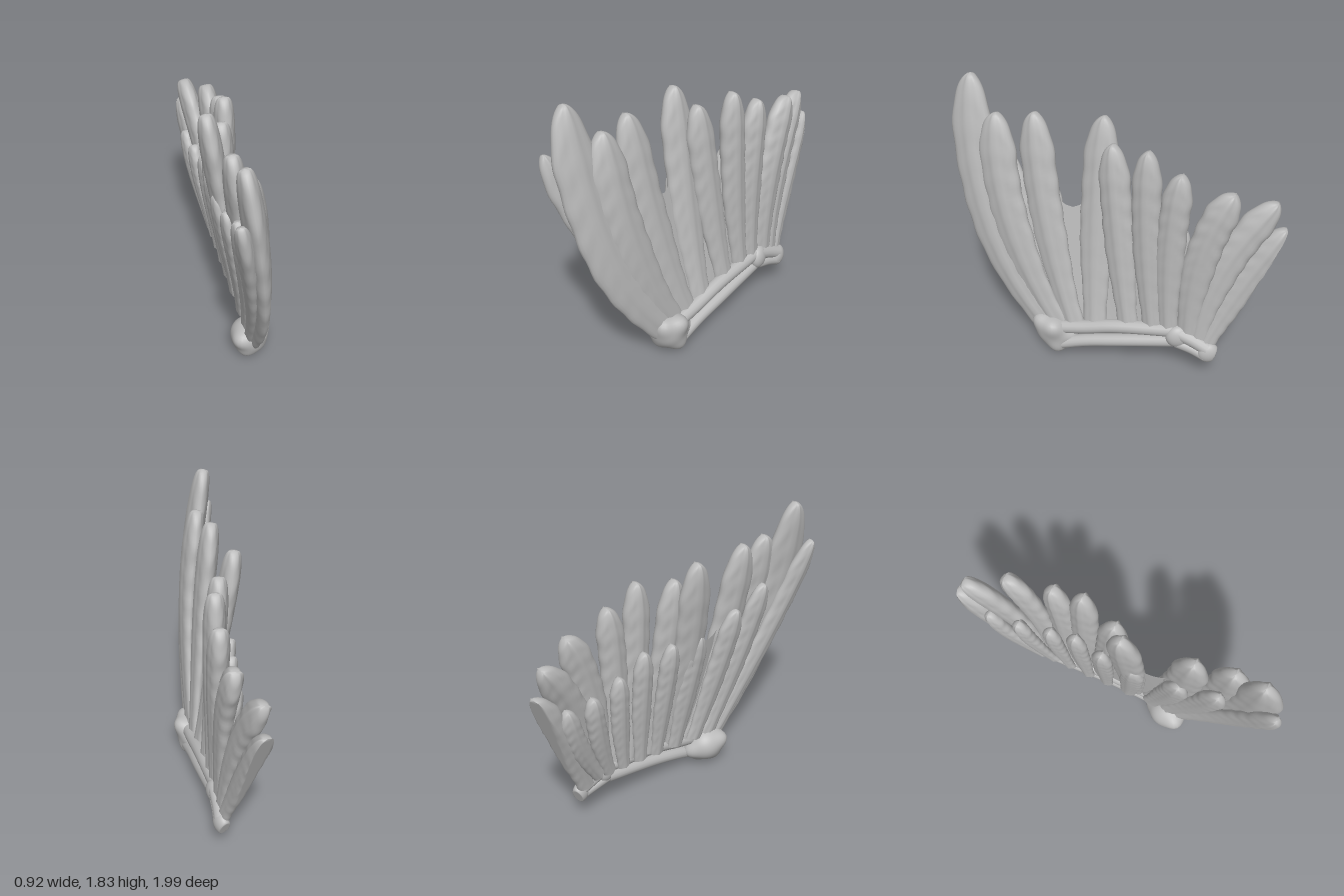
import * as THREE from 'three';
import { mergeVertices } from 'three/addons/utils/BufferGeometryUtils.js';

const V = (x, y, z) => new THREE.Vector3(x, y, z);
const grey = new THREE.MeshStandardMaterial({ color: 0xbababa });
grey.name = 'bone grey';
const greySheet = grey.clone();
greySheet.side = THREE.DoubleSide;

// x of the wing's root line at depth z
const rootX = z => 0.19 - 0.35 * z;
// the wing tip is trimmed along a straight slanted edge
const trim = p => { p.z = Math.max(p.z, -0.59 - 0.423 * (p.y - 0.15)); return p; };

function build(pos, idx) {
  const g = new THREE.BufferGeometry();
  g.setAttribute('position', new THREE.Float32BufferAttribute(pos, 3));
  g.setIndex(idx);
  g.computeVertexNormals();
  return g;
}

// Feather: rippled oval sections swept along a curve, with a raised shaft and a rounded tip
function featherGeometry(curve, width, thick) {
  const rings = 44, sides = 24, pos = [], idx = [];
  const normal = V(0.91, 0, 0.41).normalize();
  for (let i = 0; i <= rings; i++) {
    const t = 1 - Math.pow(1 - i / rings, 1.5);
    const c = curve.getPoint(t), tan = curve.getTangent(t);
    const side = new THREE.Vector3().crossVectors(normal, tan).normalize();
    const out = new THREE.Vector3().crossVectors(tan, side).normalize();
    const k = Math.max(0, (t - 0.81) / 0.19);
    const taper = Math.pow(Math.max(0, 1 - k * k), 0.58);
    const grow = 0.68 + 0.32 * THREE.MathUtils.smoothstep(t, 0, 0.5);
    const w = width / 2 * grow * taper * (1 + 0.03 * Math.sin(t * 47));
    const h = thick / 2 * (0.6 + 0.4 * THREE.MathUtils.smoothstep(t, 0, 0.8)) * Math.pow(taper, 0.4);
    for (let j = 0; j < sides; j++) {
      const a = j / sides * Math.PI * 2, ca = Math.cos(a), sa = Math.sin(a);
      const barb = 1 + 0.07 * Math.sin(t * 60 + Math.abs(ca) * 6) * Math.abs(ca);
      const shaft = 0.15 * Math.exp(-ca * ca * 30) - 0.12 * Math.exp(-Math.pow(Math.abs(ca) - 0.4, 2) * 40);
      const p = trim(c.clone().addScaledVector(side, w * ca).addScaledVector(out, h * sa * (barb + shaft)));
      pos.push(p.x, p.y, p.z);
    }
  }
  for (let i = 0; i < rings; i++) for (let j = 0; j < sides; j++) {
    const a = i * sides + j, b = i * sides + (j + 1) % sides, c = a + sides, d = b + sides;
    idx.push(a, b, d, a, d, c);
  }
  return build(pos, idx);
}

// Long feathers: [root z, root y, bend z, bend y, tip x, tip y, tip z, width]
const LONG = [
  [0.45, 0.20, 0.92, 0.80, -0.35, 1.83, 0.845, 0.275],
  [0.38, 0.22, 0.74, 0.90, -0.21, 1.63, 0.70, 0.25],
  [0.27, 0.24, 0.45, 0.90, -0.175, 1.645, 0.47, 0.23],
  [0.13, 0.26, 0.12, 0.90, -0.075, 1.66, 0.05, 0.225],
  [-0.08, 0.30, -0.02, 0.90, 0.06, 1.54, 0.01, 0.20],
  [-0.23, 0.33, -0.17, 0.95, 0.21, 1.57, -0.19, 0.185],
  [-0.33, 0.34, -0.30, 0.95, 0.30, 1.46, -0.38, 0.185],
  [-0.45, 0.33, -0.45, 0.95, 0.39, 1.375, -0.68, 0.205],
  [-0.51, 0.30, -0.57, 0.85, 0.375, 1.30, -0.94, 0.195],
  [-0.56, 0.27, -0.71, 0.65, 0.395, 1.13, -1.00, 0.18],
];

// Short covering feathers on the inner face: [root z, tip x, tip y, tip z, width]
const SHORT = [
  [0.46, -0.435, 1.555, 0.945, 0.16],
  [0.38, -0.245, 1.325, 0.64, 0.17],
  [0.26, -0.165, 1.22, 0.41, 0.17],
  [0.10, -0.05, 1.13, 0.13, 0.16],
  [-0.05, 0.03, 1.14, -0.07, 0.14],
  [-0.18, 0.13, 1.14, -0.24, 0.14],
  [-0.31, 0.205, 1.03, -0.41, 0.13],
  [-0.42, 0.26, 0.98, -0.62, 0.13],
  [-0.50, 0.315, 0.98, -0.81, 0.13],
];

const longCurve = ([rz, ry, bz, by, tx, ty, tz]) => new THREE.QuadraticBezierCurve3(
  V(rootX(rz), ry, rz), V((rootX(rz) + tx) / 2 - 0.02, by, bz), V(tx, ty, tz));

const shortCurve = ([rz, tx, ty, tz]) => {
  const root = V(rootX(rz) - 0.04, 0.28 - 0.1 * rz, rz), tip = V(tx, ty, tz);
  const bend = root.clone().lerp(tip, 0.5);
  bend.z += (tz - rz) * 0.25;
  return new THREE.QuadraticBezierCurve3(root, bend, tip);
};

// Web: a thin sheet joining the lower parts of the long feathers, its edge dipping between them
function webGeometry() {
  const rows = 16, perGap = 8, cols = perGap * (LONG.length - 1), pos = [], idx = [];
  const curves = LONG.map(longCurve);
  for (let i = 0; i <= rows; i++) for (let j = 0; j <= cols; j++) {
    const f = 2 * (j % perGap) / perGap - 1;
    const t = i / rows * (0.58 + 0.18 * f * f);
    const p = trim(new THREE.CatmullRomCurve3(curves.map(c => c.getPoint(t))).getPoint(j / cols));
    pos.push(p.x - 0.005, p.y, p.z);
  }
  for (let i = 0; i < rows; i++) for (let j = 0; j < cols; j++) {
    const a = i * (cols + 1) + j, c = a + cols + 1;
    idx.push(a, a + 1, c + 1, a, c + 1, c);
  }
  return build(pos, idx);
}

// Ellipsoid with rounded bumps [direction, height] pushed out of it, cut by the wing-tip edge
function knobGeometry(centre, radii, bumps = []) {
  let g = new THREE.SphereGeometry(1, 40, 28);
  g.deleteAttribute('uv');
  g.deleteAttribute('normal');
  g = mergeVertices(g);
  const p = g.attributes.position, d = new THREE.Vector3();
  for (let i = 0; i < p.count; i++) {
    d.fromBufferAttribute(p, i);
    const v = d.clone().multiply(V(...radii));
    for (const [dir, height] of bumps) {
      const near = d.dot(V(...dir).normalize());
      v.addScaledVector(d, height * Math.exp(9 * (near - 1)));
    }
    trim(v.add(V(...centre)));
    p.setXYZ(i, v.x, v.y, v.z);
  }
  g.computeVertexNormals();
  return g;
}

export function createModel() {
  const wing = new THREE.Group();
  wing.name = 'wing';
  const add = (name, geometry, material = grey) => {
    const m = new THREE.Mesh(geometry, material);
    m.name = name;
    wing.add(m);
  };

  LONG.forEach((f, i) => add('longFeather' + (i + 1), featherGeometry(longCurve(f), f[7], 0.12)));
  SHORT.forEach((f, i) => add('shortFeather' + (i + 1), featherGeometry(shortCurve(f), f[4], 0.09)));
  add('featherWeb', webGeometry(), greySheet);

  // Arm bones and the hand bones beyond the wrist
  const bone = (name, r, pts) =>
    add(name, new THREE.TubeGeometry(new THREE.CatmullRomCurve3(pts), 24, r, 14));
  bone('upperArmBone', 0.046, [V(0.09, 0.2, 0.36), V(0.145, 0.235, 0.2), V(0.21, 0.285, 0), V(0.335, 0.335, -0.4)]);
  bone('lowerArmBone', 0.042, [V(0.1, 0.07, 0.38), V(0.155, 0.13, 0.2), V(0.22, 0.178, 0), V(0.335, 0.255, -0.4)]);
  bone('upperHandBone', 0.046, [V(0.34, 0.33, -0.38), V(0.38, 0.285, -0.49), V(0.415, 0.245, -0.57)]);
  bone('lowerHandBone', 0.04, [V(0.34, 0.25, -0.38), V(0.38, 0.225, -0.48), V(0.42, 0.195, -0.56)]);

  // Joints
  add('shoulderJoint', knobGeometry([0.035, 0.15, 0.39], [0.115, 0.115, 0.125], [
    [[-0.85, 0.3, 0.4], 0.04],
    [[0.5, -0.8, -0.1], 0.05],
    [[-0.4, -0.75, 0.3], 0.025],
    [[0.1, 0.65, 0.75], 0.05],
    [[0.75, 0.55, 0.1], 0.045],
    [[0.5, -0.2, -0.8], 0.05],
  ]));
  add('wristJoint', knobGeometry([0.345, 0.297, -0.39], [0.05, 0.08, 0.08]));
  add('handEnd', knobGeometry([0.418, 0.218, -0.575], [0.045, 0.072, 0.07]));
  return wing;
}
